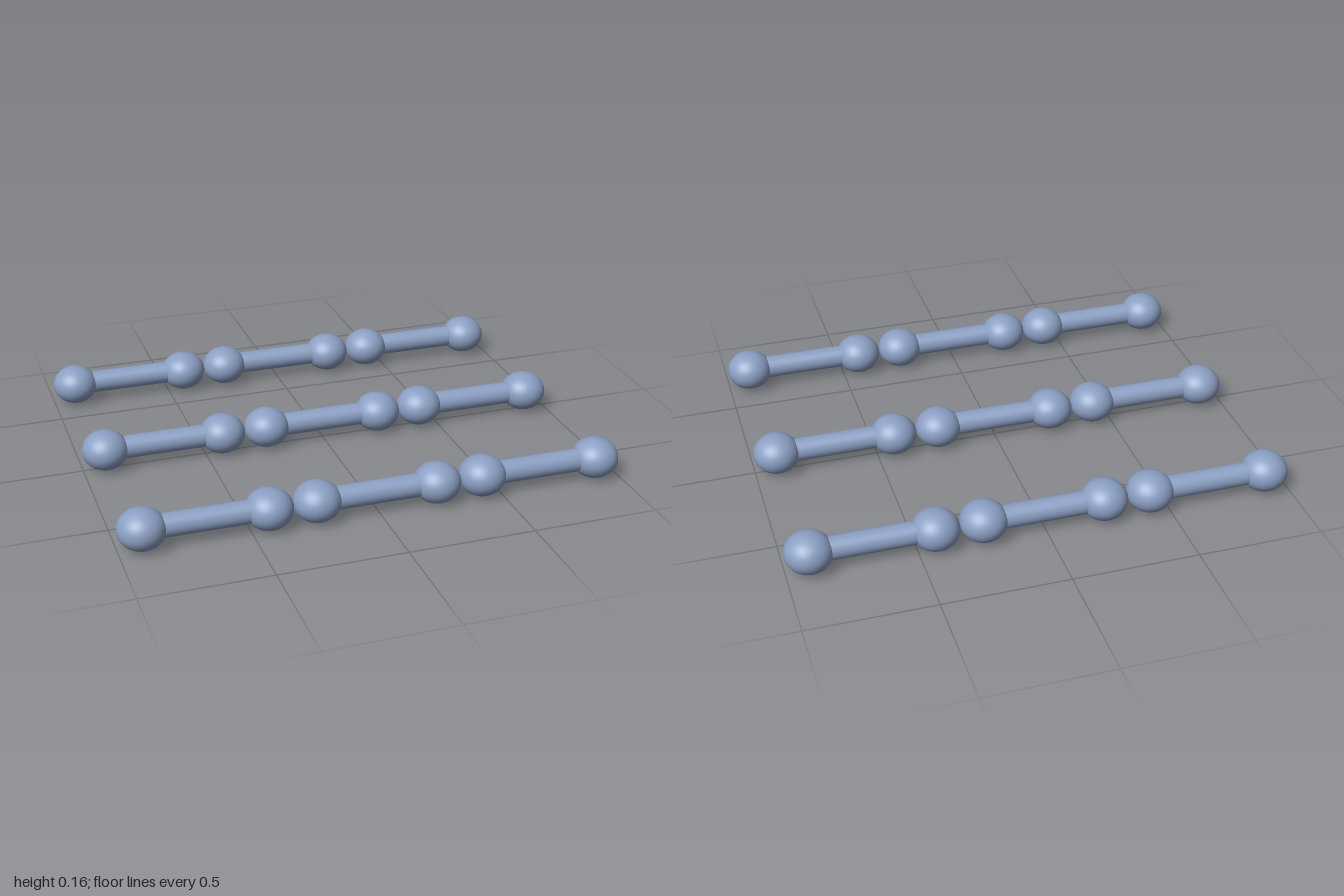
import * as THREE from 'three';

const SPACING = 0.667;     // distance between bars and between rows
const BALL_OFFSET = 0.24;  // ball centre from bar centre
const BALL_R = 0.093;
const BALL_HALF_HEIGHT = 0.08;
const ROD_R = 0.046;

export function createModel() {
  const model = new THREE.Group();
  model.name = 'barbellGrid';

  const steelBlue = new THREE.MeshStandardMaterial({ color: 0x8ca0c4 });
  steelBlue.name = 'steelBlue';

  // Slightly flattened ball and a round rod lying along x
  const ballGeometry = new THREE.SphereGeometry(BALL_R, 32, 24);
  ballGeometry.scale(1, BALL_HALF_HEIGHT / BALL_R, 1);
  const rodGeometry = new THREE.CylinderGeometry(ROD_R, ROD_R, BALL_OFFSET * 2, 32, 1, true);
  rodGeometry.rotateZ(Math.PI / 2);

  function addPart(parent, geometry, name, x) {
    const mesh = new THREE.Mesh(geometry, steelBlue);
    mesh.name = name;
    mesh.position.x = x;
    parent.add(mesh);
  }

  // Three rows of three bars, each with a ball at both ends
  for (const row of [-1, 0, 1]) {
    for (const column of [-1, 0, 1]) {
      const bar = new THREE.Group();
      bar.name = 'barbell';
      bar.position.set(column * SPACING, BALL_HALF_HEIGHT, row * SPACING);
      addPart(bar, rodGeometry, 'rod', 0);
      addPart(bar, ballGeometry, 'leftBall', BALL_OFFSET);
      addPart(bar, ballGeometry, 'rightBall', -BALL_OFFSET);
      model.add(bar);
    }
  }
  return model;
}
